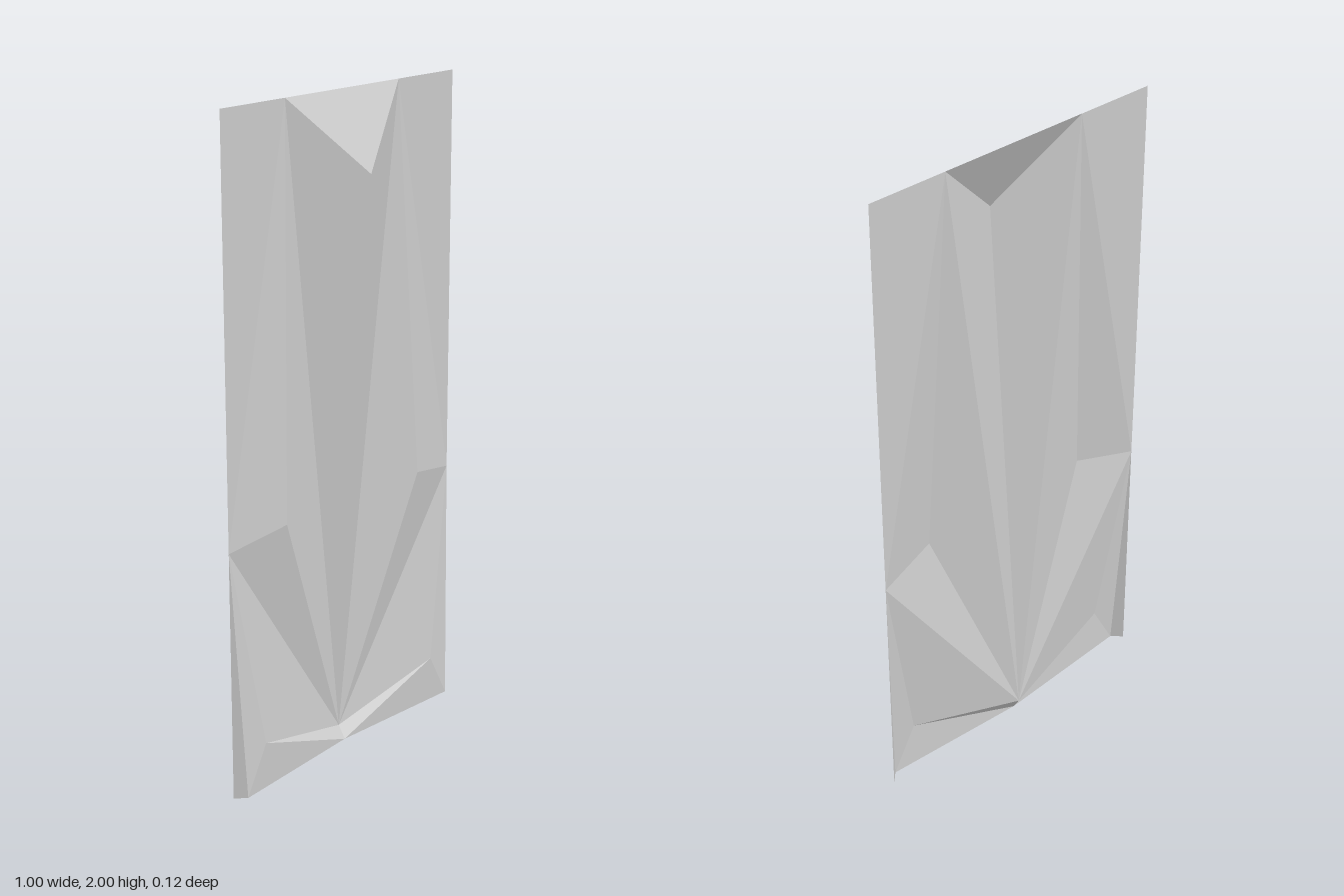
import * as THREE from 'three';

// Corner points of the left (+x) half of the folded sheet
const P = {
  topInner: [0.245, 2, -0.038],
  topCorner: [0.5, 2, -0.038],
  peak: [0, 1.77, 0.062],
  root: [0, 0.04, -0.062],
  sideMid: [0.5, 0.76, -0.038],
  ridge: [0.3, 0.8, 0.002],
  lowRidge: [0.39, 0.145, -0.008],
  foot: [0.47, 0, -0.008],
  footOuter: [0.5, 0, -0.038],
  footMid: [0, 0, -0.038],
};

// Triangles of each part, counter-clockwise from the front
const parts = {
  centralSpike: [['topInner', 'peak', 'root']],
  upperPanel: [
    ['topInner', 'sideMid', 'topCorner'],
    ['topInner', 'ridge', 'sideMid'],
    ['topInner', 'root', 'ridge'],
    ['ridge', 'root', 'sideMid'],
  ],
  lowerPanel: [
    ['sideMid', 'root', 'lowRidge'],
    ['sideMid', 'lowRidge', 'foot'],
    ['lowRidge', 'root', 'footMid'],
    ['lowRidge', 'footMid', 'foot'],
  ],
  sideEdge: [['sideMid', 'foot', 'footOuter']],
};

export function createModel() {
  const group = new THREE.Group();
  group.name = 'foldedPanel';
  const material = new THREE.MeshStandardMaterial({
    color: 0xcccccc, flatShading: true, side: THREE.DoubleSide,
  });

  const addFacets = (name, points) => {
    const geometry = new THREE.BufferGeometry();
    geometry.setAttribute('position', new THREE.Float32BufferAttribute(points.flat(), 3));
    geometry.computeVertexNormals();
    const mesh = new THREE.Mesh(geometry, material);
    mesh.name = name;
    group.add(mesh);
  };
  const mirror = ([x, y, z]) => [-x, y, z];

  // Each part on both sides, with the corner order reversed in the mirror
  for (const [name, triangles] of Object.entries(parts)) {
    const left = triangles.flatMap((t) => t.map((k) => P[k]));
    const right = triangles.flatMap((t) => t.map((k) => mirror(P[k])).reverse());
    addFacets(name + 'Left', left);
    addFacets(name + 'Right', right);
  }

  // Sloped cap closing the spike at the top
  addFacets('spikeCap', [P.topInner, mirror(P.topInner), P.peak]);
  return group;
}
